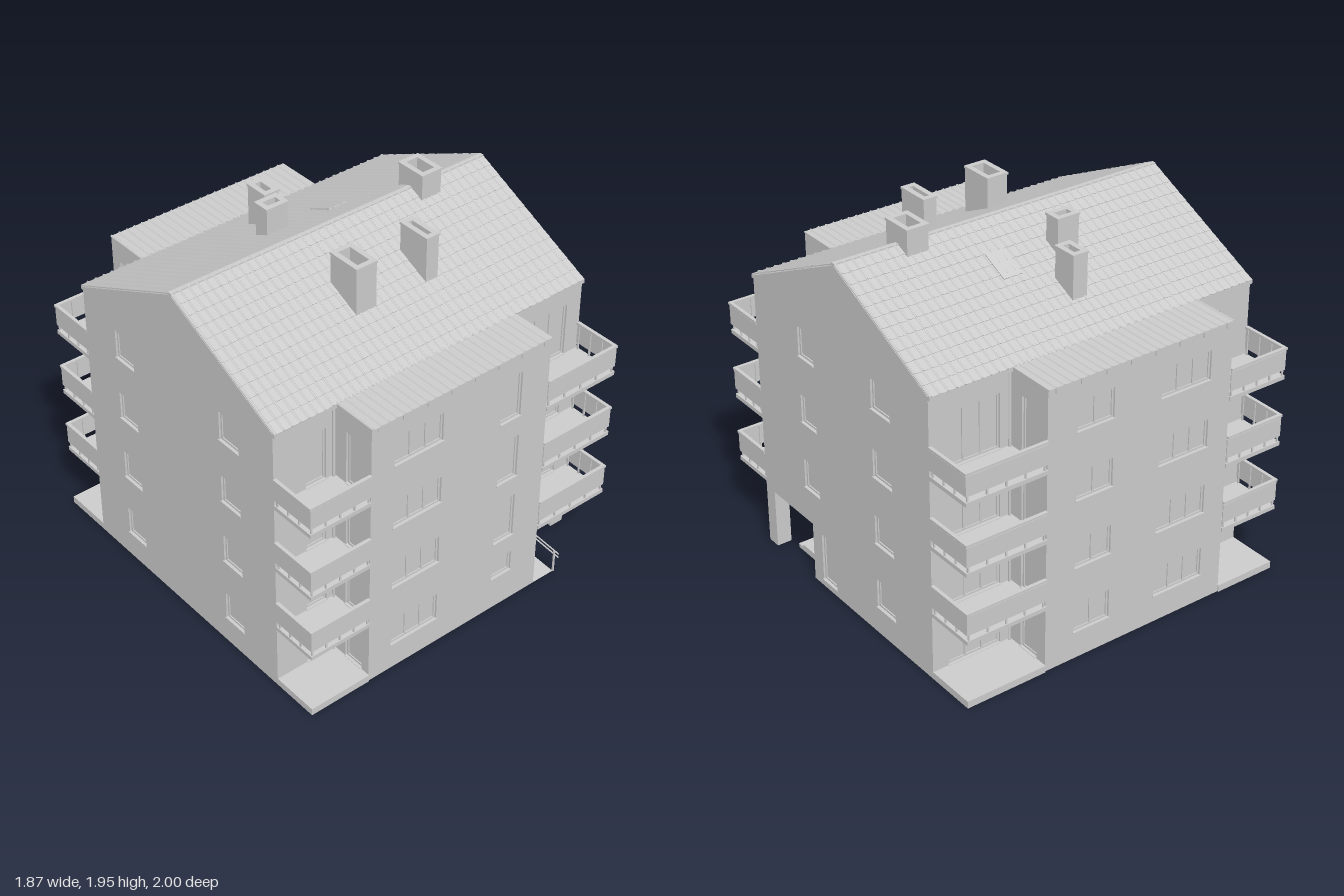
import * as THREE from 'three';

const MAT = new THREE.MeshStandardMaterial({ color: 0xcccccc, flatShading: true, side: THREE.DoubleSide });
const T = 0.03;                       // wall thickness
const FLOORS = [0.35, 0.715, 1.08];   // balcony slab undersides
const EAVE = 1.5, RIDGE = 1.84, HALF = 0.72;
const BAY = [-0.585, 0.485];          // x range of the projecting bays

// Direction each wall faces: rotation, sign of its world coordinate, axis of its offset
const FACING = {
  front: { rot: 0, s: 1, axis: 'z' },
  back: { rot: Math.PI, s: -1, axis: 'z' },
  right: { rot: Math.PI / 2, s: -1, axis: 'x' },
  left: { rot: -Math.PI / 2, s: 1, axis: 'x' },
};

function mesh(parent, name, geo) {
  const m = new THREE.Mesh(geo, MAT);
  m.name = name;
  parent.add(m);
  return m;
}

// Box from min/max ranges
function box(parent, name, [x0, x1], [y0, y1], [z0, z1]) {
  const m = mesh(parent, name, new THREE.BoxGeometry(Math.abs(x1 - x0), Math.abs(y1 - y0), Math.abs(z1 - z0)));
  m.position.set((x0 + x1) / 2, (y0 + y1) / 2, (z0 + z1) / 2);
  return m;
}

const rectPoints = (a, b, c, d) => [[a, c], [b, c], [b, d], [a, d]].map(p => new THREE.Vector2(...p));

// Recessed glazing with frame, mullions and sill, in wall coordinates
function addWindow(parent, u0, u1, v0, v1) {
  const g = new THREE.Group();
  g.name = 'window';
  parent.add(g);
  const f = 0.01, depth = [-0.024, -0.01];
  box(g, 'glass', [u0, u1], [v0, v1], [-0.02, -0.016]);
  box(g, 'frameBottom', [u0, u1], [v0, v0 + f], depth);
  box(g, 'frameTop', [u0, u1], [v1 - f, v1], depth);
  const panes = Math.max(1, Math.round((u1 - u0) / 0.1));
  for (let i = 0; i <= panes; i++) {
    const c = u0 + f / 2 + (u1 - u0 - f) * i / panes;
    box(g, 'mullion', [c - f / 2, c + f / 2], [v0, v1], depth);
  }
  box(g, 'sill', [u0 - 0.004, u1 + 0.004], [v0 - 0.006, v0], [-0.02, 0.006]);
}

// Wall from an outline of [world coordinate, y] with openings [a, b, y0, y1]
function wall(parent, name, facing, offset, outline, openings = []) {
  const { rot, s, axis } = FACING[facing];
  const g = new THREE.Group();
  g.name = name;
  g.rotation.y = rot;
  g.position[axis] = offset;
  parent.add(g);
  const shape = new THREE.Shape(outline.map(([a, y]) => new THREE.Vector2(a * s, y)));
  for (const [a, b, y0, y1] of openings) {
    const u0 = Math.min(a * s, b * s), u1 = Math.max(a * s, b * s);
    shape.holes.push(new THREE.Path(rectPoints(u0, u1, y0, y1)));
    addWindow(g, u0, u1, y0, y1);
  }
  const geo = new THREE.ExtrudeGeometry(shape, { depth: T, bevelEnabled: false });
  geo.translate(0, 0, -T);
  mesh(g, name + 'Panel', geo);
}

const plain = (a, b, h = EAVE) => [[a, 0], [b, 0], [b, h], [a, h]];
// The same window on all four storeys
const column = (a, b, rows) => rows.map(([y0, y1]) => [a, b, y0, y1]);
const ROWS = [[0.15, 0.305], [0.51, 0.665], [0.875, 1.025], [1.235, 1.39]];
const TALL = [[0.19, 0.305], [0.415, 0.665], [0.78, 1.025], [1.14, 1.39]];
const DOORS = [[0.04, 0.31], ...FLOORS.map(f => [f + 0.025, f + 0.31])];

// Ribbed roofing sheet: ribs run along z
function ribbedSheet(x0, x1, length) {
  const pts = [[x0, 0]], n = Math.round((x1 - x0) / 0.045), w = (x1 - x0) / n;
  pts.push([x1, 0]);
  for (let i = n - 1; i >= 0; i--) {
    const x = x0 + i * w;
    pts.push([x + w, 0.005], [x + w * 0.3, 0.005], [x + w * 0.2, 0.01], [x + w * 0.1, 0.01], [x, 0.005]);
  }
  const shape = new THREE.Shape(pts.map(p => new THREE.Vector2(...p)));
  return new THREE.ExtrudeGeometry(shape, { depth: length, bevelEnabled: false });
}

// Hollow chimney with a slightly wider crown
function chimney(parent, [x0, x1], [z0, z1], y0, y1) {
  const ring = (e, rim, base, top) => {
    const s = new THREE.Shape(rectPoints(x0 - e, x1 + e, -z1 - e, -z0 + e));
    s.holes.push(new THREE.Path(rectPoints(x0 + rim, x1 - rim, -z1 + rim, -z0 - rim)));
    const geo = new THREE.ExtrudeGeometry(s, { depth: top - base, bevelEnabled: false });
    geo.rotateX(-Math.PI / 2).translate(0, base, 0);
    return geo;
  };
  mesh(parent, 'chimneyStack', ring(-0.004, 0.028, y0, y1 - 0.012));
  mesh(parent, 'chimneyCrown', ring(0, 0.028, y1 - 0.012, y1));
}

// Corner balcony: slab, posts, solid panels and handrail; sx, sz choose the corner
function balcony(parent, sx, sz, y) {
  const g = new THREE.Group();
  g.name = 'balcony';
  parent.add(g);
  const xi = sx > 0 ? BAY[1] : BAY[0], xo = 0.93 * sx;
  const zi = HALF * sz, zo = (sz > 0 ? 0.975 : 0.992) * sz;
  box(g, 'balconySlab', [xi, xo], [y, y + 0.022], [zi, zo]);
  const py = [y + 0.052, y + 0.155], ry = [y + 0.16, y + 0.172];
  box(g, 'frontPanel', [xi, xo], py, [zo - 0.006 * sz, zo]);
  box(g, 'sidePanel', [xo - 0.006 * sx, xo], py, [zi, zo]);
  box(g, 'frontRail', [xi, xo + 0.004 * sx], ry, [zo - 0.014 * sz, zo + 0.004 * sz]);
  box(g, 'sideRail', [xo - 0.014 * sx, xo + 0.004 * sx], ry, [zi, zo]);
  const post = (x, z) => box(g, 'post', [x - 0.004, x + 0.004], [y + 0.005, y + 0.165], [z - 0.004, z + 0.004]);
  for (let i = 0; i <= 4; i++) post(xi + (xo - xi) * (0.03 + 0.94 * i / 4), zo - 0.008 * sz);
  for (let i = 0; i < 3; i++) post(xo - 0.008 * sx, zi + (zo - zi) * (0.06 + 0.9 * i / 3));
}

export function createModel() {
  const model = new THREE.Group();
  model.name = 'apartmentBuilding';

  // Bay faces
  wall(model, 'frontBay', 'front', 0.97, plain(...BAY),
    [...column(-0.45, -0.165, ROWS), ...column(0.19, 0.315, TALL)]);
  wall(model, 'backBay', 'back', -0.985, plain(...BAY),
    [...column(-0.46, -0.165, ROWS), ...column(0.11, 0.32, ROWS)]);
  // Bay cheeks with balcony doors
  for (const [sz, end] of [[1, 0.97], [-1, 0.985]]) {
    const doors = column(0.8 * sz, 0.92 * sz, DOORS);
    wall(model, 'bayRightCheek', 'right', BAY[1], plain(0.69 * sz, end * sz), doors);
    wall(model, 'bayLeftCheek', 'left', BAY[0], plain(0.69 * sz, end * sz), doors);
  }

  // Long walls behind the balconies
  const narrow = column(-0.75, -0.635, DOORS), wide = column(0.545, 0.84, DOORS);
  wall(model, 'frontLeftWall', 'front', HALF, plain(-0.93, BAY[0]), narrow);
  wall(model, 'backLeftWall', 'back', -HALF, plain(-0.93, BAY[0]), narrow);
  wall(model, 'backRightWall', 'back', -HALF, plain(BAY[1], 0.93), wide);
  wall(model, 'frontRightWall', 'front', HALF,
    [[BAY[1], 0.325], [0.85, 0.325], [0.85, 0], [0.93, 0], [0.93, EAVE], [BAY[1], EAVE]], wide.slice(1));

  // Gable walls, the right one cut away for the porch
  const top = [[-HALF, 0], [-HALF, EAVE], [0, RIDGE], [HALF, EAVE], [HALF, 0]];
  wall(model, 'leftGable', 'left', -0.93, top, [...column(0.33, 0.47, ROWS), ...column(-0.47, -0.33, ROWS)]);
  wall(model, 'rightGable', 'right', 0.93,
    [...top, [0.645, 0], [0.645, 0.32], [0.29, 0.32], [0.29, 0]],
    [...column(-0.42, -0.27, ROWS), ...column(0.21, 0.34, ROWS.slice(1)), [0.09, 0.21, 0.04, 0.3]]);

  // Entrance porch: inner walls, ceiling, column, landing, ramp and railing
  wall(model, 'porchSideWall', 'right', BAY[1], plain(0.29, HALF, 0.325), [[0.43, 0.645, 0.235, 0.305]]);
  wall(model, 'porchDoorWall', 'front', 0.29, plain(BAY[1], 0.92, 0.325), [[0.56, 0.83, 0.04, 0.3]]);
  box(model, 'porchCeiling', [BAY[1], 0.92], [0.322, 0.334], [0.28, 0.71]);
  box(model, 'porchColumn', [0.85, 0.928], [0, 0.33], [0.645, 0.718]);
  box(model, 'porchLanding', [BAY[1], 0.85], [0, 0.022], [0.29, 0.57]);
  box(model, 'porchStep', [0.56, 0.85], [0.022, 0.036], [0.29, 0.53]);
  const rampShape = new THREE.Shape([[-0.97, 0], [-0.57, 0], [-0.57, 0.022]].map(p => new THREE.Vector2(...p)));
  const ramp = mesh(model, 'ramp', new THREE.ExtrudeGeometry(rampShape, { depth: 0.135, bevelEnabled: false }));
  ramp.rotation.y = Math.PI / 2;
  ramp.position.x = BAY[1];
  for (const drop of [0, 0.022]) {
    const path = new THREE.LineCurve3(new THREE.Vector3(0.622, 0.13 - drop, 1), new THREE.Vector3(0.622, 0.172 - drop, 0.49));
    mesh(model, 'rampRail', new THREE.TubeGeometry(path, 1, 0.004, 6));
  }
  for (const [z, h] of [[0.97, 0.13], [0.75, 0.148], [0.53, 0.168]])
    box(model, 'rampPost', [0.618, 0.626], [0, h], [z - 0.004, z + 0.004]);

  // Balconies, terraces, downpipes and gutters at the four corners
  for (const sx of [1, -1]) for (const sz of [1, -1]) {
    FLOORS.forEach(y => balcony(model, sx, sz, y));
    const xi = sx > 0 ? BAY[1] : BAY[0];
    if (sx < 0 || sz < 0) box(model, 'terrace', [xi, 0.93 * sx], [0, 0.038], [HALF * sz, (sz > 0 ? 0.975 : 0.992) * sz]);
    const porch = sx > 0 && sz > 0 ? 0.33 : 0;
    const pipe = mesh(model, 'downpipe', new THREE.CylinderGeometry(0.007, 0.007, EAVE - porch, 8));
    pipe.position.set(xi + 0.012 * sx, (EAVE + porch) / 2, (HALF + 0.008) * sz);
    box(model, 'gutter', [xi, 0.93 * sx], [1.483, 1.503], [HALF * sz, (HALF + 0.015) * sz]);
  }

  // Main roof: overlapping ribbed courses on both slopes
  const rows = 12, angle = Math.atan2(RIDGE - EAVE, HALF);
  const slope = Math.hypot(HALF, RIDGE - EAVE) + 0.012, step = slope / rows;
  const course = ribbedSheet(-0.93, 0.93, step);
  for (const turn of [0, Math.PI]) {
    const side = new THREE.Group();
    side.name = 'roofSlope';
    side.rotation.set(angle, turn, 0, 'YXZ');
    side.position.y = RIDGE;
    model.add(side);
    for (let i = 0; i < rows; i++) {
      const m = mesh(side, 'roofCourse', course);
      m.position.set(0, 0.003, i * step);
      m.rotation.x = -0.04;
    }
  }
  box(model, 'ridgeCap', [-0.93, 0.93], [1.838, 1.85], [-0.012, 0.012]);

  // Flat ribbed roofs over the bays, with bracket ends under the edge
  for (const [z0, z1, edge] of [[0.66, 0.977, 0.972], [-0.992, -0.66, -0.988]]) {
    const m = mesh(model, 'bayRoof', ribbedSheet(BAY[0], BAY[1], z1 - z0));
    m.position.set(0, 1.5, z0);
    for (let i = 0; i < 8; i++) {
      const x = BAY[0] + 0.04 + i * 0.141;
      box(model, 'roofBracket', [x - 0.004, x + 0.004], [1.475, 1.502], [edge - 0.004, edge + 0.004]);
    }
  }

  // Chimneys
  chimney(model, [-0.225, -0.1], [0.245, 0.435], 1.64, 1.895);
  chimney(model, [0.19, 0.27], [0.245, 0.435], 1.64, 1.885);
  chimney(model, [0.465, 0.59], [-0.085, 0.09], 1.8, 1.945);
  chimney(model, [-0.225, -0.095], [-0.305, -0.21], 1.69, 1.89);
  chimney(model, [-0.09, 0], [-0.54, -0.4], 1.58, 1.825);

  // Roof window on the back slope
  const skylight = mesh(model, 'skylight', new THREE.BoxGeometry(0.105, 0.012, 0.16));
  skylight.rotation.x = -angle;
  skylight.position.set(0.182, RIDGE + 0.009 - 0.26 * Math.tan(angle), -0.26);

  return model;
}
